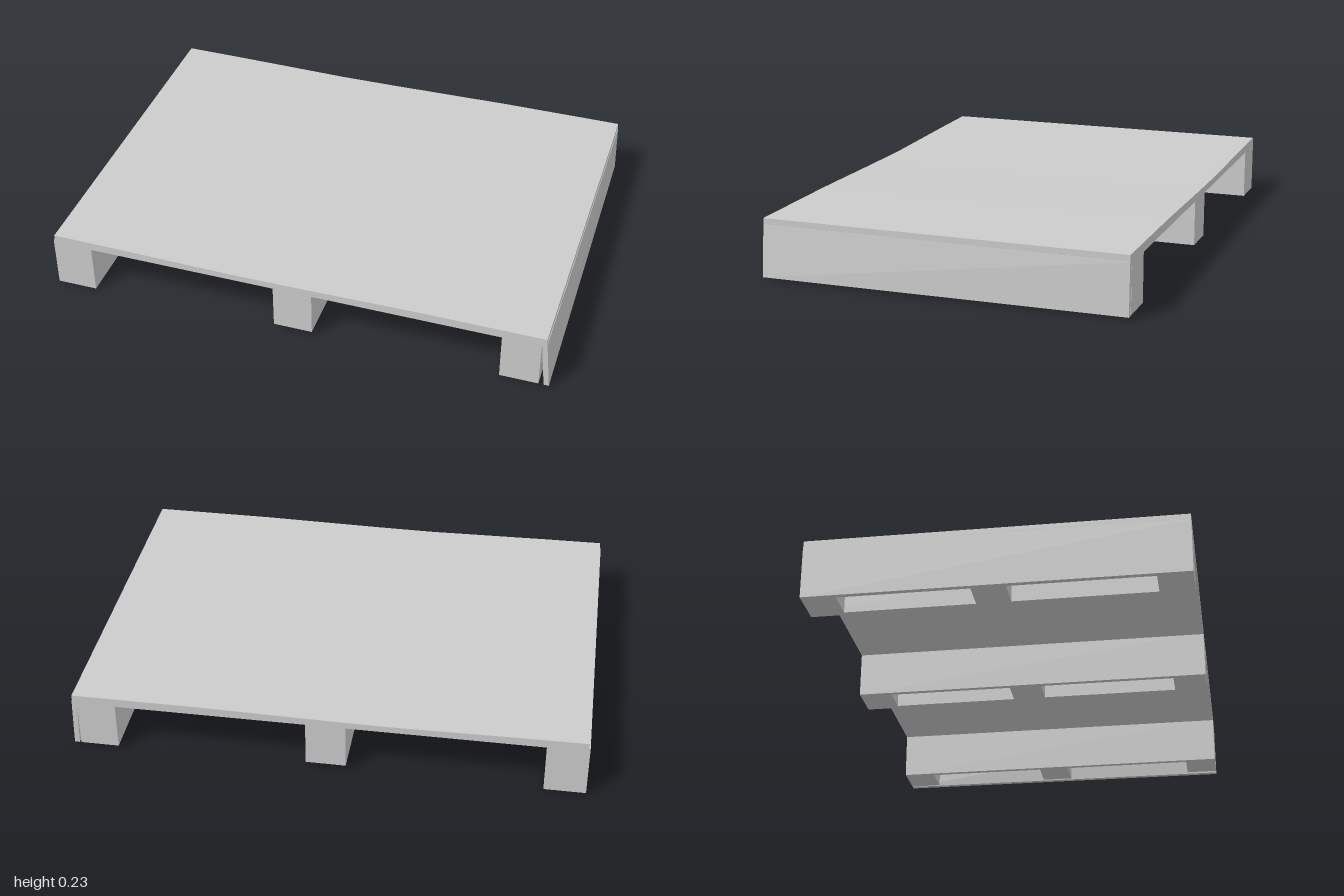
import * as THREE from 'three';

const material = new THREE.MeshStandardMaterial({ color: 0xcccccc, flatShading: true });
const BACK = -0.715, FRONT = 0.71;

// Box given by its limits on each axis
function box(name, [x0, x1], [y0, y1], [z0, z1], segX = 1) {
  const geometry = new THREE.BoxGeometry(x1 - x0, y1 - y0, z1 - z0, segX, 1, 1);
  geometry.translate((x0 + x1) / 2, (y0 + y1) / 2, (z0 + z1) / 2);
  const mesh = new THREE.Mesh(geometry, material);
  mesh.name = name;
  return mesh;
}

// Hollow runner: two long side boards with three blocks between them
function runner(name, x0, x1, bottom, flare = 0) {
  const group = new THREE.Group();
  group.name = name;
  const t = 0.02, top = 0.21, y = [bottom, top];
  group.add(box('rightBoard', [x0, x0 + t], y, [BACK, FRONT]));
  const outer = box('leftBoard', [x1 - t, x1], y, [BACK, FRONT]);

  // The board splays outwards at its lower edge, most of all at the front
  const p = outer.geometry.attributes.position;
  for (let i = 0; i < p.count; i++) {
    if (p.getY(i) < 0.1) p.setX(i, p.getX(i) + flare * (p.getZ(i) > 0 ? 1 : 0.3));
  }
  outer.geometry.computeVertexNormals();
  group.add(outer);

  const blocks = [['backBlock', BACK, BACK + 0.13], ['middleBlock', -0.09, 0.04], ['frontBlock', FRONT - 0.13, FRONT]];
  for (const [part, z0, z1] of blocks) {
    group.add(box(part, [x0 + t, x1 - t], y, [z0, z1]));
  }
  return group;
}

export function createModel() {
  const model = new THREE.Group();
  model.name = 'pallet';

  // Deck with a slight sag along the middle
  const deck = box('deck', [-0.995, 0.978], [0.2, 0.235], [BACK, FRONT], 8);
  const p = deck.geometry.attributes.position;
  for (let i = 0; i < p.count; i++) {
    const sag = Math.max(0, 1 - Math.abs(p.getX(i) + 0.2) / 0.7);
    if (p.getY(i) > 0.22) p.setY(i, p.getY(i) - 0.01 * sag);
  }
  deck.geometry.computeVertexNormals();
  model.add(deck);

  // Three runners from front to back
  model.add(runner('rightRunner', -1, -0.84, 0));
  model.add(runner('middleRunner', -0.085, 0.07, 0.02));
  model.add(runner('leftRunner', 0.81, 0.98, 0.01, 0.02));
  return model;
}
